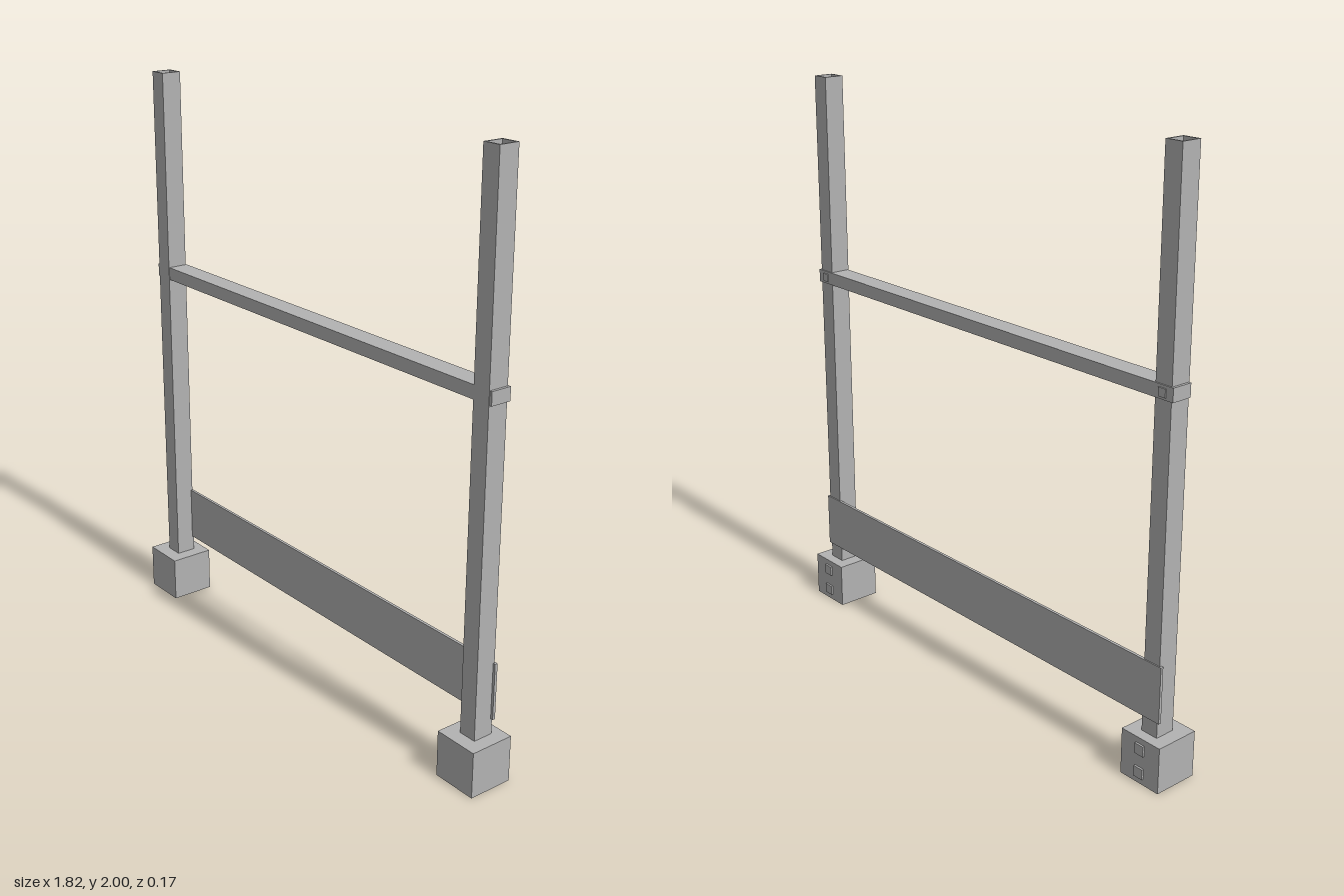
import * as THREE from 'three';

export function createModel() {
  const group = new THREE.Group();
  group.name = 'railFrame';
  const gray = new THREE.MeshStandardMaterial({ color: 0xb2b2b2 });
  gray.name = 'plain gray';

  // box given by its limits on each axis
  const box = (name, [x0, x1], [y0, y1], [z0, z1]) => {
    const mesh = new THREE.Mesh(new THREE.BoxGeometry(x1 - x0, y1 - y0, z1 - z0), gray);
    mesh.position.set((x0 + x1) / 2, (y0 + y1) / 2, (z0 + z1) / 2);
    mesh.name = name;
    group.add(mesh);
  };

  // open rectangular tube standing upright
  const rect = (Type, w, d) => new Type().moveTo(-w, -d).lineTo(w, -d).lineTo(w, d).lineTo(-w, d).closePath();
  const tubeShape = rect(THREE.Shape, 0.032, 0.036);
  tubeShape.holes.push(rect(THREE.Path, 0.026, 0.03));
  const postBottom = 0.1;
  const tube = new THREE.ExtrudeGeometry(tubeShape, { depth: 2 - postBottom, bevelEnabled: false });
  tube.rotateX(-Math.PI / 2);

  for (const side of [-1, 1]) {
    const prefix = side > 0 ? 'left' : 'right';
    const x = side * 0.831;
    const post = new THREE.Mesh(tube, gray);
    post.position.set(x, postBottom, -0.002);
    post.name = prefix + 'Post';
    group.add(post);

    // foot block with two square studs on its back
    box(prefix + 'Foot', [x - 0.08, x + 0.08], [0, 0.16], [-0.076, 0.083]);
    for (const y of [0.04, 0.122])
      box(prefix + 'FootStud', [x - 0.018, x + 0.018], [y - 0.018, y + 0.018], [-0.083, -0.07]);

    // stud where the rail meets the post
    box(prefix + 'RailStud', [x - 0.014, x + 0.014], [1.268, 1.296], [-0.046, -0.04]);
  }

  // middle rail and the thin board near the ground, both a little wider than the posts
  box('middleRail', [-0.872, 0.872], [1.26, 1.305], [-0.042, 0.032]);
  box('toeBoard', [-0.872, 0.872], [0.215, 0.41], [-0.042, -0.032]);

  return group;
}
